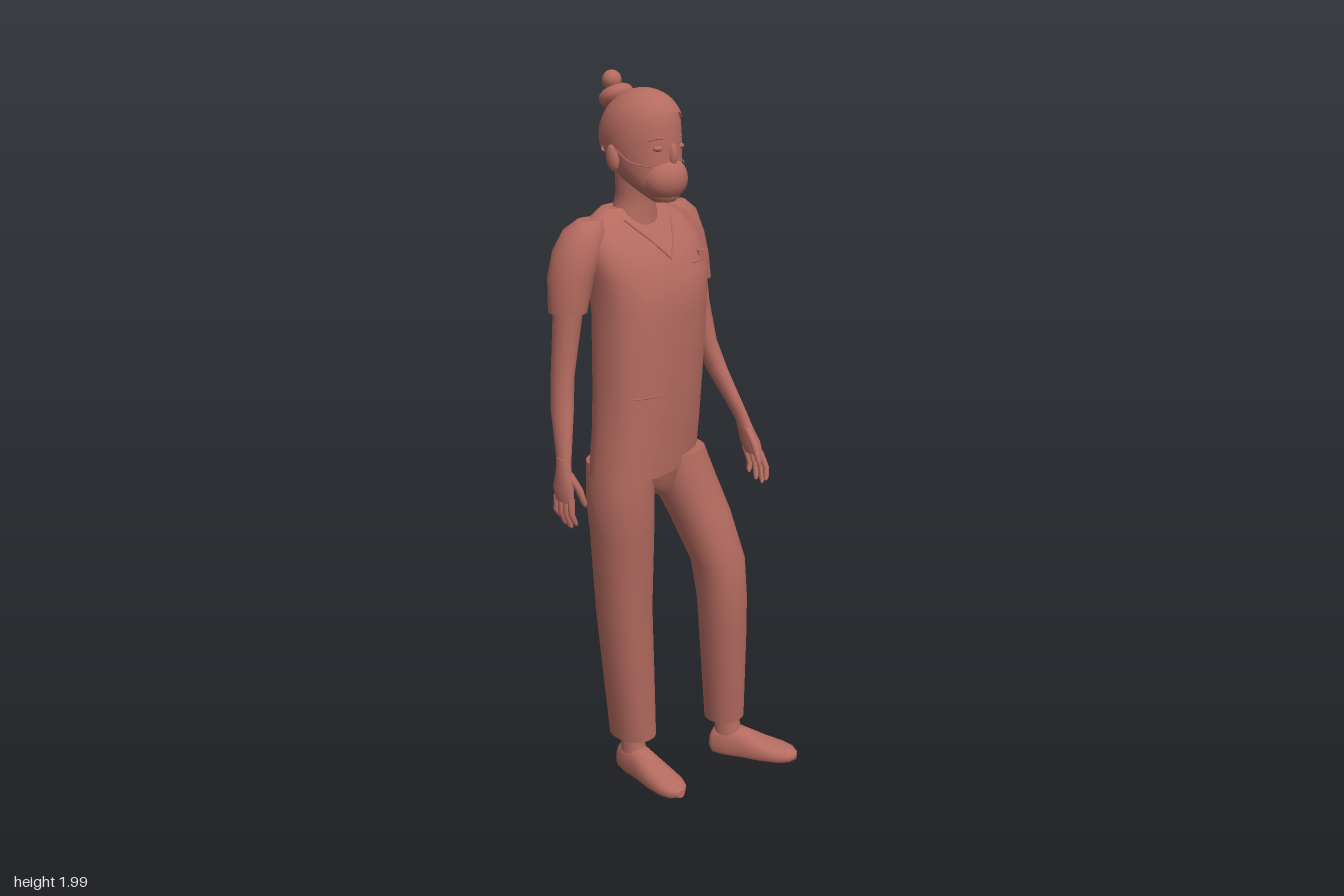
import * as THREE from 'three';

const material = new THREE.MeshStandardMaterial({ color: 0xb56b60, side: THREE.DoubleSide });
const X = new THREE.Vector3(1, 0, 0), Y = new THREE.Vector3(0, 1, 0), Z = new THREE.Vector3(0, 0, 1);

function mesh(parent, name, geometry) {
  const m = new THREE.Mesh(geometry, material);
  m.name = name;
  parent.add(m);
  return m;
}

// Skin superelliptic rings; a section is [x, y, z, half size along u, half size along v, yaw].
function loft(sections, { n = 20, u = X, v = Z, power = 2, floor = -1 } = {}) {
  const first = new THREE.Vector3(...sections[0]), last = new THREE.Vector3(...sections.at(-1));
  const facing = new THREE.Vector3().crossVectors(u, v).dot(last.sub(first)) < 0 ? -1 : 1;
  const pos = [], index = [], p = new THREE.Vector3(), off = new THREE.Vector3();
  const curve = (t) => Math.sign(t) * Math.abs(t) ** (2 / power);
  const ring = ([x, y, z, a, b, yaw = 0]) => {
    const start = pos.length / 3;
    for (let i = 0; i < n; i++) {
      const t = (i / n) * Math.PI * 2;
      off.set(0, 0, 0).addScaledVector(u, a * curve(Math.cos(t)));
      off.addScaledVector(v, facing * b * curve(Math.sin(t))).applyAxisAngle(Y, yaw);
      p.set(x, y, z).add(off);
      pos.push(p.x, Math.max(p.y, floor), p.z);
    }
    return start;
  };
  const starts = sections.map(ring);
  for (let s = 1; s < starts.length; s++) for (let i = 0; i < n; i++) {
    const j = (i + 1) % n, a = starts[s - 1], b = starts[s];
    index.push(a + i, a + j, b + i, a + j, b + j, b + i);
  }
  // end caps with their own rings, so the rims stay crisp
  [sections[0], sections.at(-1)].forEach((sec, end) => {
    const s = ring(sec), c = pos.length / 3;
    pos.push(sec[0], Math.max(sec[1], floor), sec[2]);
    for (let i = 0; i < n; i++) {
      const j = (i + 1) % n;
      end ? index.push(c, s + i, s + j) : index.push(c, s + j, s + i);
    }
  });
  const g = new THREE.BufferGeometry();
  g.setAttribute('position', new THREE.Float32BufferAttribute(pos, 3));
  g.setIndex(index);
  g.computeVertexNormals();
  return g;
}

function ellipsoid(parent, name, [x, y, z], [a, b, c]) {
  const m = mesh(parent, name, new THREE.SphereGeometry(1, 18, 12));
  m.position.set(x, y, z);
  m.scale.set(a, b, c);
  return m;
}

function seam(parent, name, points, r = 0.002) {
  const path = new THREE.CatmullRomCurve3(points.map((q) => new THREE.Vector3(...q)));
  mesh(parent, name, new THREE.TubeGeometry(path, 16, r, 5));
}

const shirt = [
  [-0.075, 0.97, 0.028, 0.106, 0.188, 0.2],
  [-0.068, 1.08, 0.022, 0.107, 0.182, 0.18],
  [-0.064, 1.2, 0.018, 0.11, 0.177, 0.15],
  [-0.06, 1.4, 0.014, 0.114, 0.172, 0.07],
  [-0.065, 1.5, 0.014, 0.11, 0.178, 0],
  [-0.088, 1.58, 0.02, 0.086, 0.186, 0],
  [-0.107, 1.63, 0.024, 0.062, 0.165, 0],
  [-0.112, 1.665, 0.034, 0.042, 0.09, 0],
];

// Point on the front of the shirt.
function onShirt(y, z) {
  let i = 1;
  while (i < shirt.length - 1 && shirt[i][1] < y) i++;
  const a = shirt[i - 1], b = shirt[i], t = (y - a[1]) / (b[1] - a[1]);
  const [cx, , cz, hx, hz, yaw] = a.map((q, k) => q + (b[k] - q) * t);
  const w = Math.min(1, Math.abs(z - cz) / hz);
  return [cx + hx * (1 - w ** 2.4) ** (1 / 2.4) - (z - cz) * Math.tan(yaw) * -1 * (yaw ? -1 : 1) * -1, y, z];
}

function addTorso(g) {
  mesh(g, 'shirt', loft(shirt, { n: 32, power: 2.4 }));
  mesh(g, 'hips', loft([[-0.07, 0.89, 0.0, 0.06, 0.05], [-0.072, 0.93, 0.015, 0.085, 0.12],
    [-0.072, 0.99, 0.025, 0.1, 0.17]]));
  // neckline, pockets and badge
  for (const end of [0.105, -0.06])
    seam(g, 'neckline', [0, 0.25, 0.5, 0.75, 1].map((t) => onShirt(1.54 + 0.1 * t, 0.016 + (end - 0.016) * t)), 0.003);
  seam(g, 'rightPocket', [0.08, 0.11, 0.14, 0.165].map((z) => onShirt(1.2, z)));
  seam(g, 'leftPocket', [-0.06, -0.09, -0.12, -0.14].map((z) => onShirt(1.18, z)));
  const badge = mesh(g, 'badge', new THREE.BoxGeometry(0.012, 0.028, 0.028));
  badge.position.set(...onShirt(1.53, -0.105));
  seam(g, 'chestPocket', [-0.05, -0.075, -0.1, -0.125].map((z) => onShirt(1.52, z)));
}

function addHead(g) {
  const z = 0.04;
  mesh(g, 'neck', loft([[-0.1, 1.62, 0.036, 0.062, 0.075], [-0.092, 1.665, 0.036, 0.052, 0.058],
    [-0.086, 1.7, 0.038, 0.048, 0.052], [-0.08, 1.78, z, 0.055, 0.055]]));
  mesh(g, 'head', loft([[0.02, 1.69, z, 0.025, 0.03], [0.012, 1.705, z, 0.045, 0.048],
    [-0.022, 1.74, z, 0.08, 0.072], [-0.048, 1.78, z, 0.1, 0.085], [-0.06, 1.83, z, 0.11, 0.092],
    [-0.06, 1.88, z, 0.108, 0.088], [-0.054, 1.92, z, 0.09, 0.07], [-0.05, 1.945, z, 0.055, 0.04],
    [-0.05, 1.952, z, 0.015, 0.012]], { n: 24 }));
  const hair = mesh(g, 'hair', new THREE.SphereGeometry(1, 24, 12, 0, Math.PI * 2, 0, Math.PI / 2));
  hair.position.set(-0.06, 1.85, z);
  hair.scale.set(0.12, 0.107, 0.097);
  hair.rotation.z = 0.5;
  ellipsoid(g, 'mask', [0.02, 1.745, z], [0.054, 0.056, 0.064]);
  ellipsoid(g, 'noseBridge', [0.047, 1.805, z], [0.014, 0.03, 0.012]);
  for (const s of [1, -1]) {
    ellipsoid(g, 'ear', [-0.07, 1.795, z + s * 0.09], [0.02, 0.033, 0.012]).rotation.z = 0.2;
    ellipsoid(g, 'eye', [0.034, 1.823, z + s * 0.036], [0.011, 0.008, 0.016]);
    seam(g, 'eyebrow', [[0.043, 1.843, z + s * 0.018], [0.039, 1.848, z + s * 0.036], [0.022, 1.843, z + s * 0.058]], 0.003);
    seam(g, 'maskStrap', [[0.03, 1.78, z + s * 0.06], [-0.015, 1.79, z + s * 0.083], [-0.06, 1.82, z + s * 0.094]]);
  }
  // bun: coiled ring with a knob, leaning back
  const bun = new THREE.Group();
  bun.name = 'bun';
  bun.position.set(-0.152, 1.932, 0.037);
  bun.rotation.z = 0.5;
  const coil = mesh(bun, 'bunCoil', new THREE.TorusGeometry(0.026, 0.02, 10, 18));
  coil.rotation.x = Math.PI / 2;
  ellipsoid(bun, 'bunCore', [0.004, -0.012, 0], [0.032, 0.03, 0.032]);
  ellipsoid(bun, 'bunKnob', [0.004, 0.04, 0], [0.025, 0.025, 0.025]);
  g.add(bun);
}

// Hand hangs from the wrist; lean is forward travel per unit down, side is +1 or -1 in z.
function addHand(g, name, [x, y, z], lean, side) {
  const hand = new THREE.Group();
  hand.name = name;
  const at = (f, d, o, a, b) => [x + f + d * lean, y - d, z + side * o, a, b];
  mesh(hand, 'palm', loft([at(0, -0.02, 0, 0.021, 0.017), at(0, 0.02, 0.004, 0.026, 0.016),
    at(0, 0.06, 0.008, 0.036, 0.016), at(0, 0.095, 0.008, 0.033, 0.013)], { n: 12 }));
  [0.15, 0.165, 0.17, 0.158].forEach((len, i) => {
    const f = -0.027 + i * 0.018;
    mesh(hand, 'finger', loft([at(f, 0.085, 0.008, 0.009, 0.01), at(f * 1.1, 0.125, 0.012, 0.008, 0.009),
      at(f * 1.1, len - 0.008, 0.002, 0.007, 0.008), at(f * 1.1, len, -0.002, 0.003, 0.004)], { n: 8 }));
  });
  mesh(hand, 'thumb', loft([at(0.015, 0.02, 0, 0.012, 0.012), at(0.036, 0.06, -0.012, 0.011, 0.011),
    at(0.042, 0.1, -0.022, 0.008, 0.008), at(0.042, 0.11, -0.024, 0.003, 0.003)], { n: 8 }));
  g.add(hand);
}

function addArms(g) {
  mesh(g, 'rightSleeve', loft([[-0.11, 1.645, 0.17, 0.03, 0.04], [-0.112, 1.62, 0.19, 0.055, 0.055],
    [-0.115, 1.57, 0.213, 0.066, 0.062], [-0.117, 1.51, 0.235, 0.062, 0.058], [-0.118, 1.42, 0.248, 0.052, 0.048]]));
  mesh(g, 'rightArm', loft([[-0.118, 1.47, 0.24, 0.042, 0.04], [-0.122, 1.36, 0.252, 0.038, 0.034],
    [-0.125, 1.25, 0.265, 0.034, 0.028], [-0.112, 1.17, 0.28, 0.034, 0.027], [-0.085, 1.06, 0.303, 0.024, 0.018],
    [-0.08, 1.02, 0.308, 0.022, 0.017]], { n: 14 }));
  addHand(g, 'rightHand', [-0.078, 1.035, 0.308], 0.06, 1);
  mesh(g, 'leftSleeve', loft([[-0.11, 1.655, -0.12, 0.03, 0.04], [-0.112, 1.63, -0.135, 0.055, 0.055],
    [-0.113, 1.57, -0.155, 0.066, 0.06], [-0.11, 1.51, -0.177, 0.062, 0.053], [-0.105, 1.44, -0.193, 0.053, 0.048]]));
  mesh(g, 'leftArm', loft([[-0.107, 1.48, -0.188, 0.042, 0.04], [-0.1, 1.37, -0.205, 0.038, 0.034],
    [-0.085, 1.26, -0.225, 0.035, 0.029], [-0.055, 1.18, -0.24, 0.035, 0.026], [0.005, 1.07, -0.262, 0.026, 0.018],
    [0.022, 1.04, -0.266, 0.024, 0.017]], { n: 14 }));
  addHand(g, 'leftHand', [0.018, 1.045, -0.265], 0.42, -1);
}

function addLegs(g) {
  mesh(g, 'rightTrouserLeg', loft([[-0.072, 1.0, 0.12, 0.09, 0.082], [-0.07, 0.9, 0.12, 0.09, 0.09],
    [-0.075, 0.8, 0.11, 0.086, 0.085], [-0.095, 0.55, 0.087, 0.077, 0.077], [-0.104, 0.35, 0.065, 0.074, 0.07],
    [-0.113, 0.125, 0.042, 0.072, 0.059]], { power: 2.2 }));
  mesh(g, 'leftTrouserLeg', loft([[-0.055, 1.0, -0.062, 0.09, 0.085], [-0.04, 0.91, -0.088, 0.09, 0.09],
    [-0.01, 0.8, -0.126, 0.084, 0.085], [0.035, 0.66, -0.155, 0.074, 0.075], [0.04, 0.55, -0.167, 0.069, 0.071],
    [0.036, 0.45, -0.177, 0.068, 0.067], [0.01, 0.125, -0.217, 0.056, 0.058]], { power: 2.2 }));
  // feet: flat-soled shoes with ankles
  for (const [name, x, z, yaw] of [['rightFoot', -0.165, 0.038, -0.06], ['leftFoot', -0.028, -0.2, 0.53]]) {
    const foot = new THREE.Group();
    foot.name = name;
    mesh(foot, 'shoe', loft([[0, 0.03, 0, 0.018, 0.022], [0.012, 0.032, 0, 0.032, 0.045], [0.05, 0.034, 0, 0.038, 0.062],
      [0.1, 0.028, 0, 0.039, 0.055], [0.16, 0.02, 0, 0.047, 0.038], [0.215, 0.016, 0, 0.046, 0.026],
      [0.245, 0.014, 0, 0.034, 0.02], [0.262, 0.012, 0, 0.012, 0.012]], { u: Z, v: Y, power: 2.3, floor: 0 }));
    mesh(foot, 'ankle', loft([[0.05, 0.18, 0, 0.036, 0.032], [0.05, 0.1, 0, 0.038, 0.032], [0.056, 0.05, 0, 0.045, 0.034]]));
    foot.position.set(x, 0, z);
    foot.rotation.y = yaw;
    g.add(foot);
  }
}

export function createModel() {
  const g = new THREE.Group();
  g.name = 'standingFigure';
  addTorso(g);
  addHead(g);
  addArms(g);
  addLegs(g);
  return g;
}
